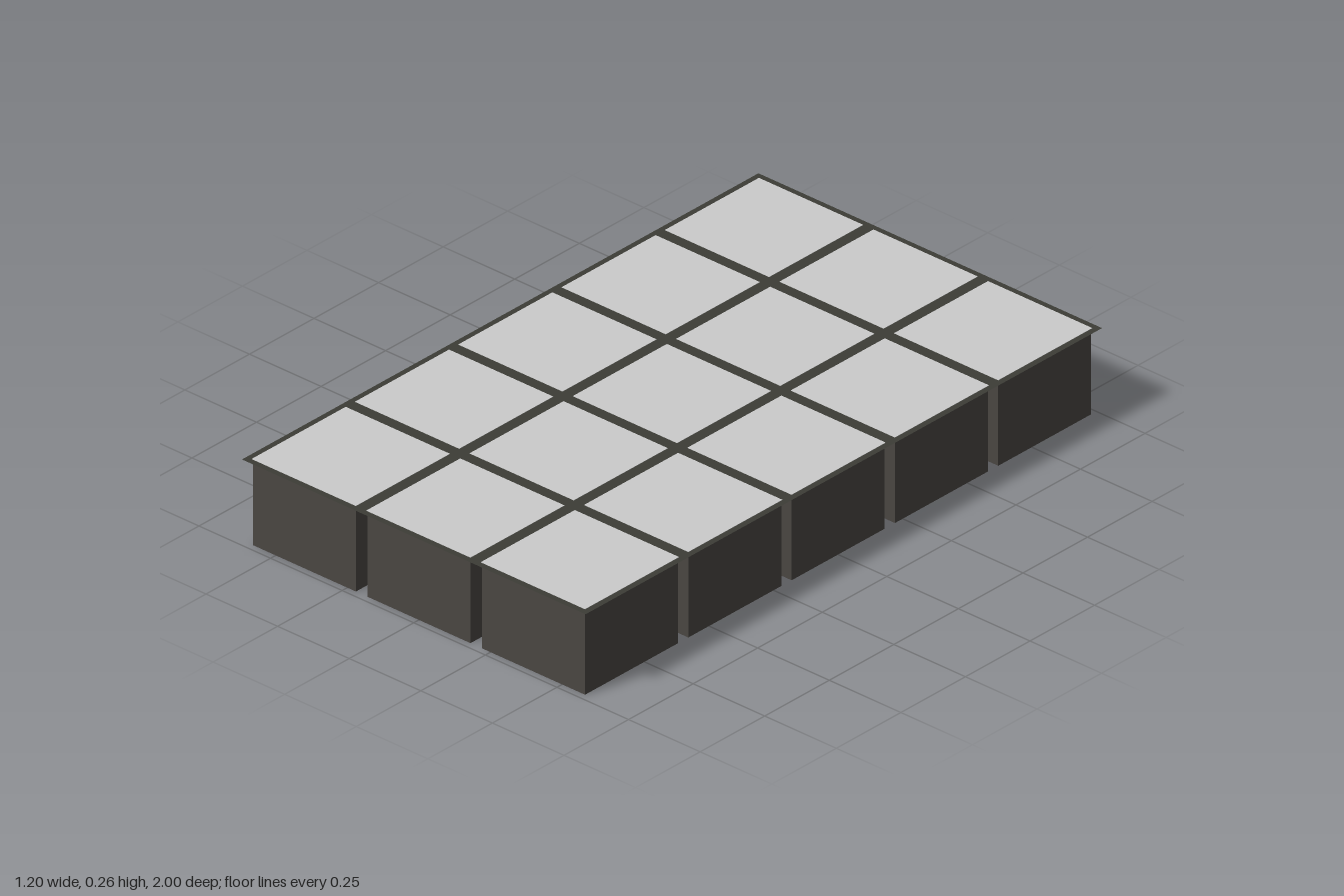
import * as THREE from 'three';

const COLS = 3, ROWS = 5, PITCH = 0.4;

// Square prism or frustum given half widths at the bottom and top
function square(bottom, top, y0, y1) {
  const g = new THREE.CylinderGeometry(top * Math.SQRT2, bottom * Math.SQRT2, y1 - y0, 4).toNonIndexed();
  g.rotateY(Math.PI / 4);
  g.translate(0, (y0 + y1) / 2, 0);
  g.computeVertexNormals();
  return g;
}

export function createModel() {
  const model = new THREE.Group();
  model.name = 'blockGrid';

  const dark = new THREE.MeshStandardMaterial({ color: 0x4a4642 });
  const rim = new THREE.MeshStandardMaterial({ color: 0x3c3d36 });
  const grey = new THREE.MeshStandardMaterial({ color: 0xcccccc });

  const parts = [
    ['blockBody', square(0.18, 0.18, 0, 0.256), dark],
    // thin lip that flares out to meet the neighbouring block
    ['blockLip', square(0.18, 0.2, 0.2545, 0.2572), rim],
    ['topPanel', square(0.182, 0.182, 0.2565, 0.2582), grey],
  ];

  for (let r = 0; r < ROWS; r++) {
    for (let c = 0; c < COLS; c++) {
      const block = new THREE.Group();
      block.name = `block_${r + 1}_${c + 1}`;
      for (const [name, geometry, material] of parts) {
        const mesh = new THREE.Mesh(geometry, material);
        mesh.name = name;
        block.add(mesh);
      }
      block.position.set((c - (COLS - 1) / 2) * PITCH, 0, (r - (ROWS - 1) / 2) * PITCH);
      model.add(block);
    }
  }
  return model;
}
